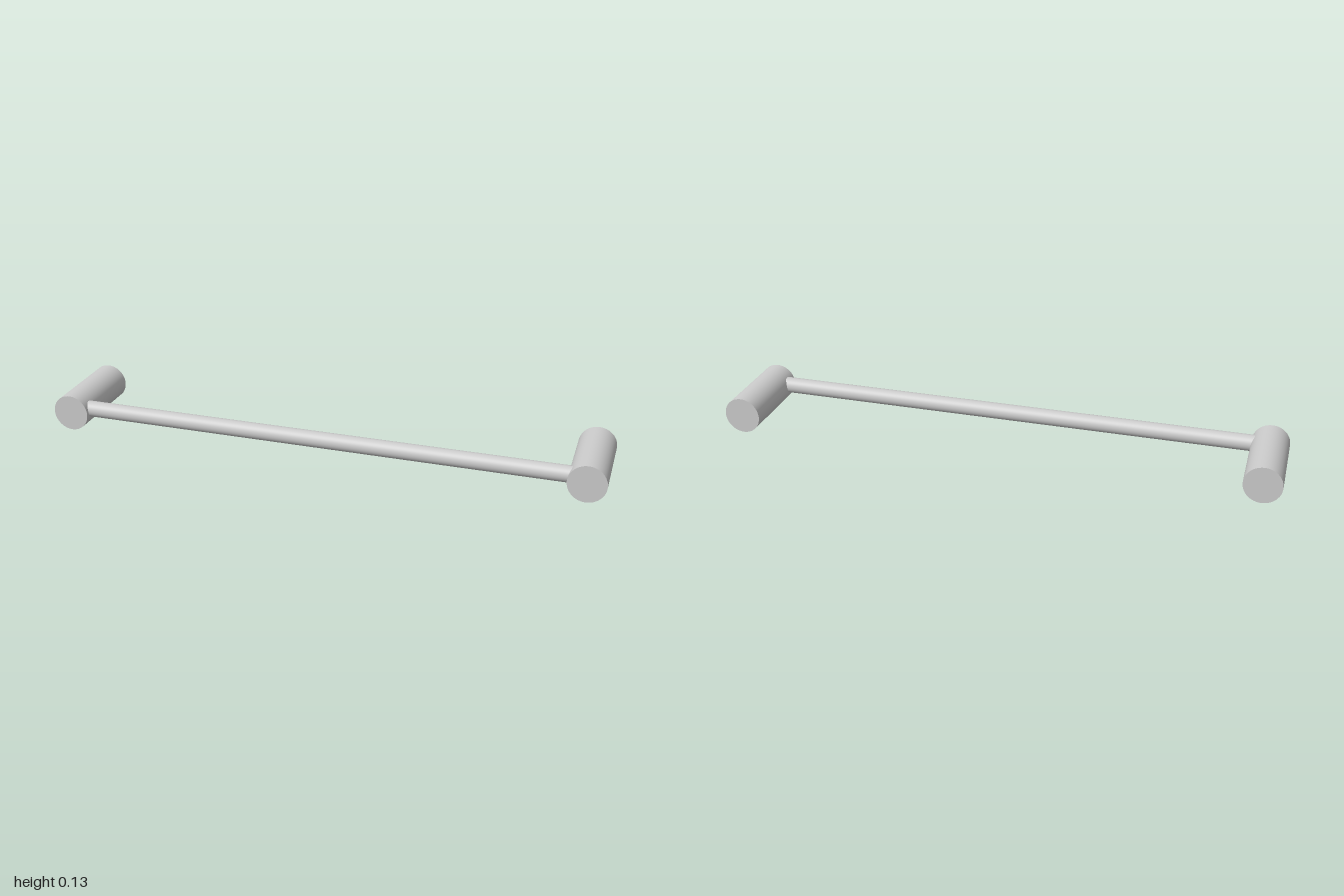
import * as THREE from 'three';

export function createModel() {
  const group = new THREE.Group();
  const material = new THREE.MeshStandardMaterial({ color: 0xcccccc });

  const addRod = (name, radius, length) => {
    const mesh = new THREE.Mesh(new THREE.CylinderGeometry(radius, radius, length, 48), material);
    mesh.name = name;
    group.add(mesh);
    return mesh;
  };

  // Two round wall posts running front to back
  for (const side of [1, -1]) {
    const post = addRod(side > 0 ? 'leftPost' : 'rightPost', 0.066, 0.315);
    post.rotation.x = Math.PI / 2;
    post.position.set(side * 0.934, 0.067, 0);
  }

  // Thin rail joining the posts near their front ends
  const rail = addRod('rail', 0.029, 1.8);
  rail.rotation.z = Math.PI / 2;
  rail.position.set(0, 0.076, 0.117);

  return group;
}
